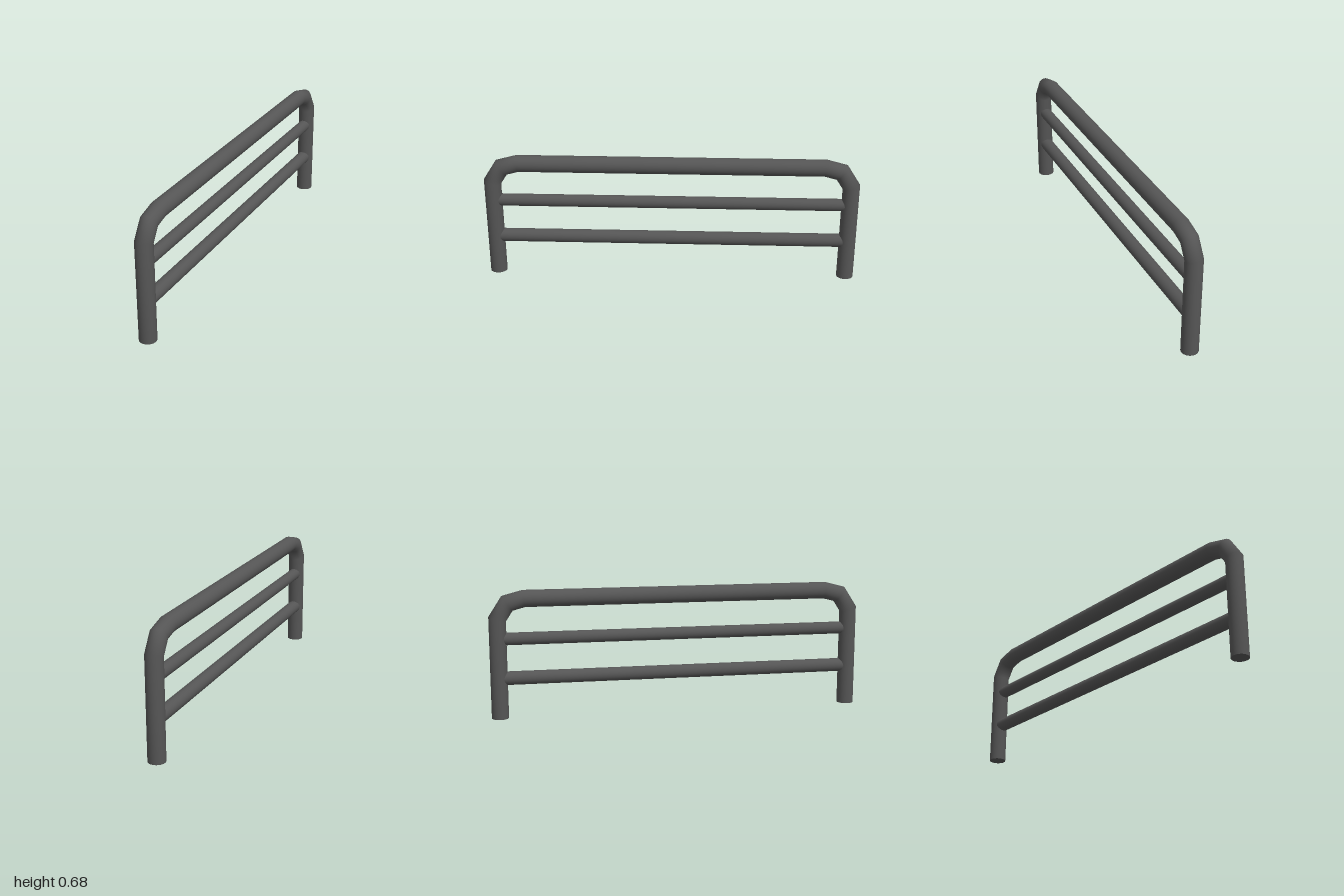
import * as THREE from 'three';

const material = new THREE.MeshStandardMaterial({ color: 0x555555 });
const SIDES = 32;

// Sweeps a round section along a path of [z, y] points, with mitred corners.
function mitredPipe(path, radius) {
  const points = path.map(([z, y]) => new THREE.Vector2(z, y));
  const positions = [], indices = [];
  points.forEach((p, i) => {
    const before = p.clone().sub(points[Math.max(i - 1, 0)]).normalize();
    const after = points[Math.min(i + 1, points.length - 1)].clone().sub(p).normalize();
    const tangent = before.clone().add(after).normalize();
    const stretch = radius / tangent.dot(i ? before : after);
    for (let s = 0; s < SIDES; s++) {
      const a = (s / SIDES) * Math.PI * 2;
      const offset = Math.sin(a) * stretch;
      positions.push(Math.cos(a) * radius, p.y + tangent.x * offset, p.x - tangent.y * offset);
      if (i === 0) continue;
      const next = (s + 1) % SIDES, row = i * SIDES, prev = row - SIDES;
      indices.push(prev + s, prev + next, row + s, prev + next, row + next, row + s);
    }
  });
  const geometry = new THREE.BufferGeometry();
  geometry.setAttribute('position', new THREE.Float32BufferAttribute(positions, 3));
  geometry.setIndex(indices);
  geometry.computeVertexNormals();
  return geometry;
}

export function createModel() {
  const model = new THREE.Group();
  model.name = 'bikeRail';
  const add = (name, geometry) => {
    const mesh = new THREE.Mesh(geometry, material);
    mesh.name = name;
    model.add(mesh);
    return mesh;
  };

  // Bent hoop: up the front leg, along the top rail and down the back leg
  const radius = 0.045, legZ = 0.955;
  const frontHalf = [[legZ, 0], [legZ, 0.53], [0.902, 0.612], [0.815, 0.635]];
  const backHalf = frontHalf.map(([z, y]) => [-z, y]).reverse();
  add('hoop', mitredPipe([...frontHalf, ...backHalf], radius));

  // Closed undersides of the legs
  for (const side of [1, -1]) {
    const foot = add(side > 0 ? 'frontFoot' : 'backFoot', new THREE.CircleGeometry(radius, SIDES));
    foot.rotation.x = Math.PI / 2;
    foot.position.z = side * legZ;
  }

  // Two thinner bars between the legs
  [['lowerBar', 0.214, 0.036], ['upperBar', 0.424, 0.033]].forEach(([name, y, barRadius]) => {
    const bar = add(name, new THREE.CylinderGeometry(barRadius, barRadius, legZ * 2, SIDES));
    bar.rotation.x = Math.PI / 2;
    bar.position.y = y;
  });

  return model;
}
